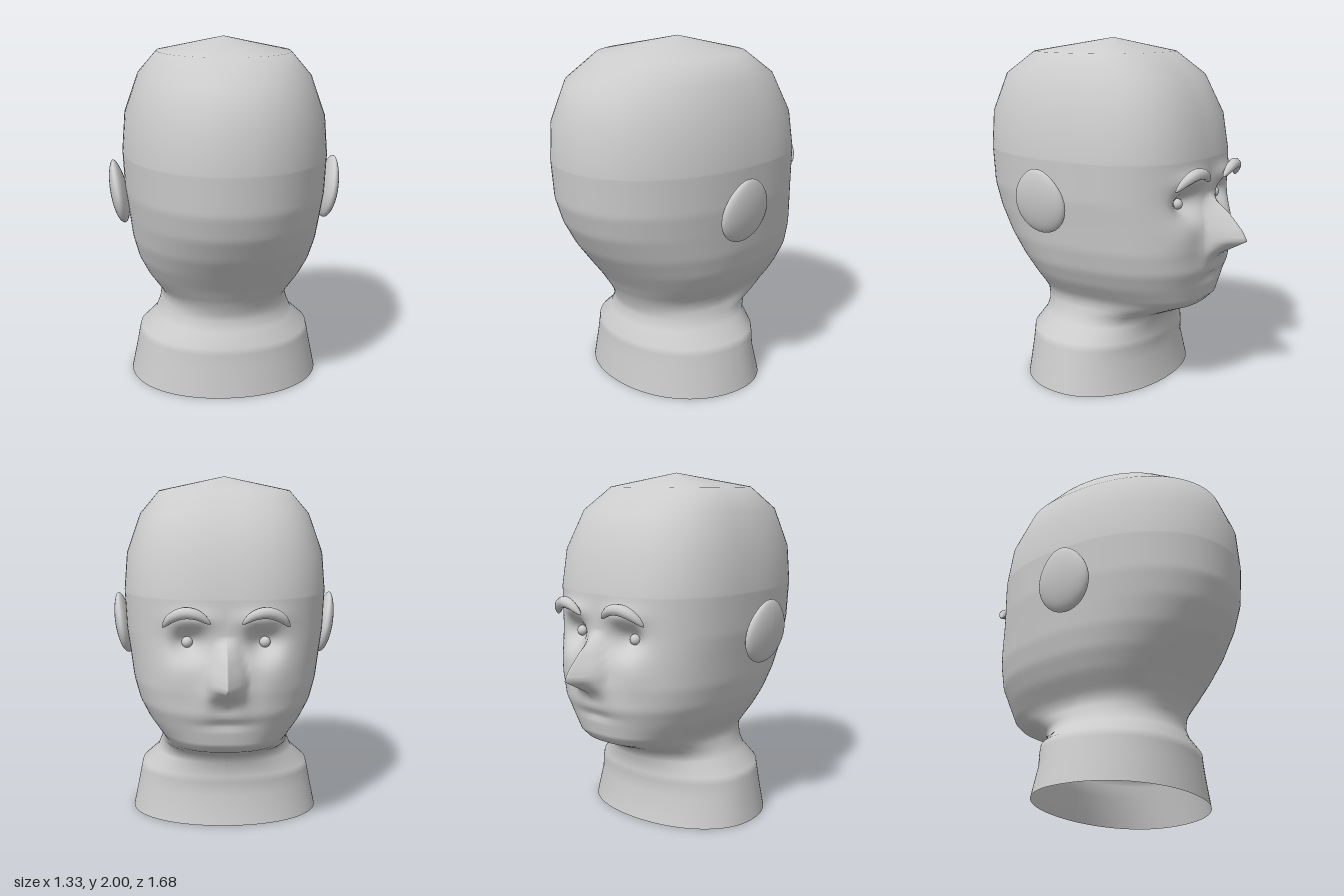
import * as THREE from 'three';

// Head cross-sections: height, half width, front z (face looks to -z), back z
const SECTIONS = [
  [0, 0.56, -0.34, 0.54], [0.17, 0.525, -0.3, 0.52], [0.25, 0.51, -0.31, 0.513],
  [0.29, 0.5, -0.31, 0.513], [0.37, 0.41, -0.305, 0.46], [0.43, 0.385, -0.36, 0.44],
  [0.47, 0.373, -0.44, 0.448], [0.51, 0.365, -0.545, 0.462], [0.55, 0.39, -0.585, 0.48],
  [0.64, 0.455, -0.605, 0.535], [0.74, 0.505, -0.635, 0.61], [0.86, 0.537, -0.635, 0.7],
  [1.0, 0.555, -0.62, 0.78], [1.14, 0.575, -0.6, 0.825], [1.36, 0.585, -0.595, 0.84],
  [1.57, 0.568, -0.56, 0.828], [1.79, 0.49, -0.45, 0.742], [1.92, 0.38, -0.27, 0.55],
  [2.0, 0, 0.055, 0.055],
];
// Nose: height, how far the ridge stands out, half width
const NOSE = [
  [0.77, 0, 0.1], [0.82, 0.035, 0.12], [0.91, 0.205, 0.115],
  [0.96, 0.185, 0.11], [1.05, 0.115, 0.09], [1.15, 0, 0.06],
];
const CENTRE_Z = 0.055;

// Linear lookup in a table keyed by its first column
function sample(table, y) {
  if (y <= table[0][0]) return table[0];
  for (let i = 1; i < table.length; i++) {
    const a = table[i - 1], b = table[i];
    if (y <= b[0]) return a.map((v, k) => v + (b[k] - v) * (y - a[0]) / (b[0] - a[0]));
  }
  return table[table.length - 1];
}
const bell = (d, s) => Math.exp(-(d * d) / (s * s));

// How far the face stands out (+) or sinks in (-) at x, y
function faceRelief(x, y) {
  const ax = Math.abs(x);
  const [, depth, width] = sample(NOSE, y);
  let d = depth * Math.max(0, 1 - ax / width);
  d += 0.03 * bell(y - 0.92, 0.12) * bell(ax - 0.09, 0.05) * (1 - depth * 2); // nostril wings
  d -= 0.09 * bell(ax - 0.2, 0.085) * bell(y - 1.12, 0.075);                 // eye sockets
  d += 0.03 * bell(ax - 0.18, 0.12) * bell(y - 1.25, 0.05);                  // brow ridge
  d += 0.015 * bell(ax - 0.27, 0.1) * bell(y - 0.95, 0.1);                   // cheeks
  d -= 0.018 * bell(ax, 0.14) * bell(y - 0.68, 0.022);                       // mouth
  return d;
}

function headGeometry() {
  // Wide rings on neck and crown, close rings over the face
  const heights = SECTIONS.map(s => s[0]).filter(y => y < 0.56 || y > 1.35);
  for (let y = 0.57; y < 1.355; y += 0.02) heights.push(y);
  heights.sort((a, b) => a - b);

  const columns = 128, pos = [], index = [];
  heights.forEach((y, r) => {
    const [, w, front, back] = sample(SECTIONS, y);
    for (let i = 0; i < columns; i++) {
      const t = (i / columns) * 2 - 1;                 // 0 is the middle of the face
      const a = Math.PI * Math.sign(t) * Math.abs(t) ** 1.6;
      const s = Math.sin(a), c = Math.cos(a);
      const isFront = c > 0;
      const n = isFront && y > 0.44 ? 2.6 : 2.1;
      const x = w * Math.sign(s) * Math.abs(s) ** (2 / n);
      const reach = Math.abs(c) ** (2 / n);
      let z = CENTRE_Z + reach * ((isFront ? front : back) - CENTRE_Z);
      if (isFront && y > 0.56 && y < 1.5) z -= faceRelief(x, y) * Math.min(1, reach * 1.3);
      pos.push(x, y, z);
      if (r < heights.length - 1) {
        const p = r * columns + i, q = r * columns + (i + 1) % columns;
        index.push(p, p + columns, q, q, p + columns, q + columns);
      }
    }
  });
  const g = new THREE.BufferGeometry();
  g.setAttribute('position', new THREE.Float32BufferAttribute(pos, 3));
  g.setIndex(index);
  g.computeVertexNormals();
  return g;
}

// Flattened disc with a slight point at the top
function earGeometry() {
  const g = new THREE.SphereGeometry(1, 32, 24);
  const p = g.attributes.position;
  for (let i = 0; i < p.count; i++) {
    const y = p.getY(i), up = Math.max(0, y);
    const k = 1 - 0.18 * up * up;
    p.setXYZ(i, p.getX(i) * 0.05 * k, y * (y > 0 ? 0.2 : 0.17), p.getZ(i) * 0.168 * k);
  }
  g.computeVertexNormals();
  return g;
}

// Arched crescent that tapers to both ends
function browGeometry(side) {
  const curve = new THREE.CatmullRomCurve3([
    [0.08, 1.235, -0.635], [0.15, 1.285, -0.645], [0.22, 1.295, -0.635],
    [0.29, 1.265, -0.61], [0.34, 1.21, -0.575],
  ].map(([x, y, z]) => new THREE.Vector3(x * side, y, z)));
  const steps = 20, around = 10;
  const g = new THREE.TubeGeometry(curve, steps, 0.032, around, false);
  const p = g.attributes.position, v = new THREE.Vector3();
  for (let i = 0; i <= steps; i++) {
    const c = curve.getPointAt(i / steps);
    const k = Math.sin(Math.PI * i / steps) ** 0.6 + 0.01;
    for (let j = 0; j <= around; j++) {
      const id = i * (around + 1) + j;
      v.fromBufferAttribute(p, id).sub(c).multiplyScalar(k).add(c);
      p.setXYZ(id, v.x, v.y, v.z);
    }
  }
  g.computeVertexNormals();
  return g;
}

export function createModel() {
  const group = new THREE.Group();
  group.name = 'headBust';
  const grey = new THREE.MeshStandardMaterial({ color: 0xcccccc, side: THREE.DoubleSide });
  grey.name = 'plainGrey';

  const add = (name, geometry) => {
    const mesh = new THREE.Mesh(geometry, grey);
    mesh.name = name;
    group.add(mesh);
    return mesh;
  };

  add('headAndNeck', headGeometry());
  for (const side of [1, -1]) {
    const label = side > 0 ? 'left' : 'right';
    const ear = add(label + 'Ear', earGeometry());
    ear.position.set(0.607 * side, 1.115, 0.125);
    ear.rotation.z = -0.17 * side;
    add(label + 'Eyebrow', browGeometry(side));
    const eye = add(label + 'Eye', new THREE.SphereGeometry(0.03, 16, 12));
    eye.position.set(0.21 * side, 1.12, -0.51);
  }
  return group;
}
